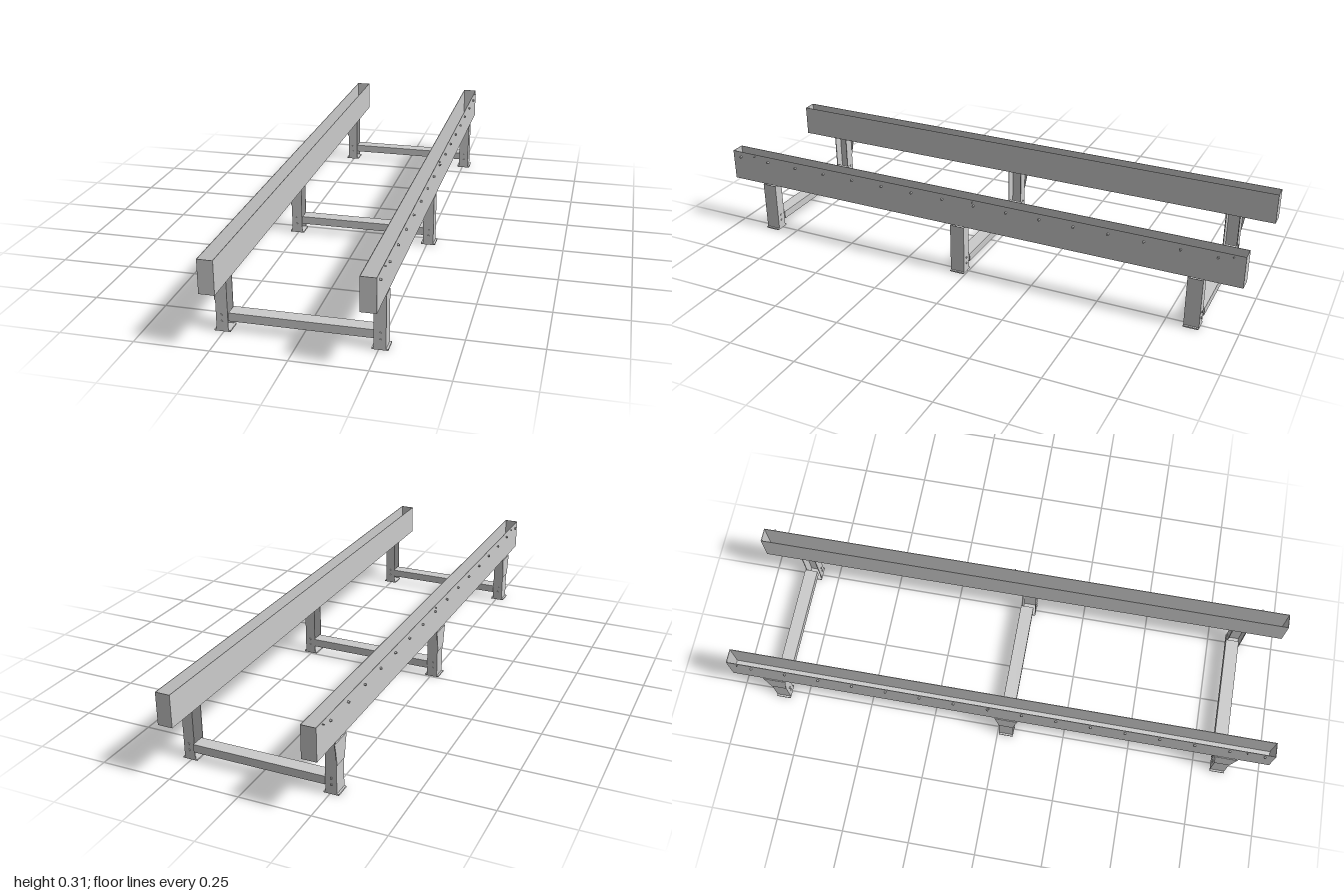
import * as THREE from 'three';

const material = new THREE.MeshStandardMaterial({ color: 0xcccccc, side: THREE.DoubleSide });

// Box given by its min and max corners
function box(parent, name, [x0, y0, z0], [x1, y1, z1]) {
  const mesh = new THREE.Mesh(new THREE.BoxGeometry(x1 - x0, y1 - y0, z1 - z0), material);
  mesh.name = name;
  mesh.position.set((x0 + x1) / 2, (y0 + y1) / 2, (z0 + z1) / 2);
  parent.add(mesh);
}

// Small bolt head pointing along x or z
function bolt(parent, name, axis, radius, length, x, y, z) {
  const geometry = new THREE.CylinderGeometry(radius, radius, length, 8);
  if (axis === 'x') geometry.rotateZ(Math.PI / 2);
  else geometry.rotateX(Math.PI / 2);
  const mesh = new THREE.Mesh(geometry, material);
  mesh.name = name;
  mesh.position.set(x, y, z);
  parent.add(mesh);
}

// Open-topped trough with closed ends and a row of bolts on the outer wall
function createBeam(side) {
  const beam = new THREE.Group();
  beam.name = side > 0 ? 'leftBeam' : 'rightBeam';
  const t = 0.002, inner = 0.222, outer = 0.274, y0 = 0.191, y1 = 0.306;
  const part = (name, a, b) => box(beam, name,
    [Math.min(side * a[0], side * b[0]), a[1], a[2]],
    [Math.max(side * a[0], side * b[0]), b[1], b[2]]);
  part('beamFloor', [inner, y0, -1], [outer, y0 + t, 1]);
  part('beamInnerWall', [inner, y0, -1], [inner + t, y1, 1]);
  part('beamOuterWall', [outer - t, y0, -1], [outer, y1, 1]);
  part('beamFrontCap', [inner, y0, 1 - t], [outer, y1, 1]);
  part('beamBackCap', [inner, y0, -1], [outer, y1, -1 + t]);
  for (let i = 0; i < 16; i++) {
    bolt(beam, 'beamBolt', 'x', 0.004, 0.007, side * 0.2775, 0.285, 0.965 - i * 0.125);
  }
  // Slim screws near the top edge at the beam ends and middle
  for (const z of [0.9, -0.03, -0.96]) {
    bolt(beam, 'beamScrew', 'x', 0.002, 0.007, side * 0.2775, 0.298, z);
  }
  return beam;
}

// U-section post, open toward the centre, on a foot plate
function createPost(side) {
  const post = new THREE.Group();
  post.name = side > 0 ? 'leftPost' : 'rightPost';
  const t = 0.003, h = 0.187, w = 0.027, inner = 0.235, outer = 0.274;
  const part = (name, a, b) => box(post, name,
    [Math.min(side * a[0], side * b[0]), a[1], a[2]],
    [Math.max(side * a[0], side * b[0]), b[1], b[2]]);
  part('postWeb', [outer - t, 0.004, -w], [outer, h, w]);
  part('postFrontFlange', [inner, 0.004, w - t], [outer, h, w]);
  part('postBackFlange', [inner, 0.004, -w], [outer, h, -w + t]);
  part('footPlate', [0.228, 0, -w], [0.281, 0.005, w]);
  for (const y of [0.035, 0.058]) {
    for (const end of [-1, 1]) {
      bolt(post, 'postBolt', 'z', 0.004, 0.004, side * 0.256, y, end * (w + 0.001));
    }
  }
  return post;
}

// Tapered plate on the outer face of the right posts
function createGusset() {
  const shape = new THREE.Shape([
    [-0.027, 0.107], [0.027, 0.107], [0.037, 0.165], [0.043, 0.188], [-0.043, 0.188], [-0.037, 0.165],
  ].map(([x, y]) => new THREE.Vector2(x, y)));
  const geometry = new THREE.ExtrudeGeometry(shape, { depth: 0.003, bevelEnabled: false });
  geometry.rotateY(-Math.PI / 2);
  const gusset = new THREE.Mesh(geometry, material);
  gusset.name = 'gussetPlate';
  gusset.position.x = -0.2735;
  return gusset;
}

// Lipped channel with its slot facing down
function createCrossbar() {
  const w = 0.0245, s = 0.01, t = 0.003, y0 = 0.033, y1 = 0.062;
  const shape = new THREE.Shape([
    [-w, y0], [-s, y0], [-s, y0 + t], [-w + t, y0 + t], [-w + t, y1 - t], [w - t, y1 - t],
    [w - t, y0 + t], [s, y0 + t], [s, y0], [w, y0], [w, y1], [-w, y1],
  ].map(([x, y]) => new THREE.Vector2(x, y)));
  const geometry = new THREE.ExtrudeGeometry(shape, { depth: 0.472, bevelEnabled: false });
  geometry.translate(0, 0, -0.236);
  geometry.rotateY(Math.PI / 2);
  const bar = new THREE.Mesh(geometry, material);
  bar.name = 'crossbar';
  bar.position.z = -0.007;
  return bar;
}

export function createModel() {
  const model = new THREE.Group();
  model.name = 'twinBeamStand';
  model.add(createBeam(1), createBeam(-1));

  // Three H-shaped supports along the length
  const supports = { frontSupport: 0.845, middleSupport: 0.033, backSupport: -0.843 };
  for (const [name, z] of Object.entries(supports)) {
    const support = new THREE.Group();
    support.name = name;
    support.position.z = z;
    support.add(createPost(1), createPost(-1), createGusset(), createCrossbar());
    model.add(support);
  }
  return model;
}
